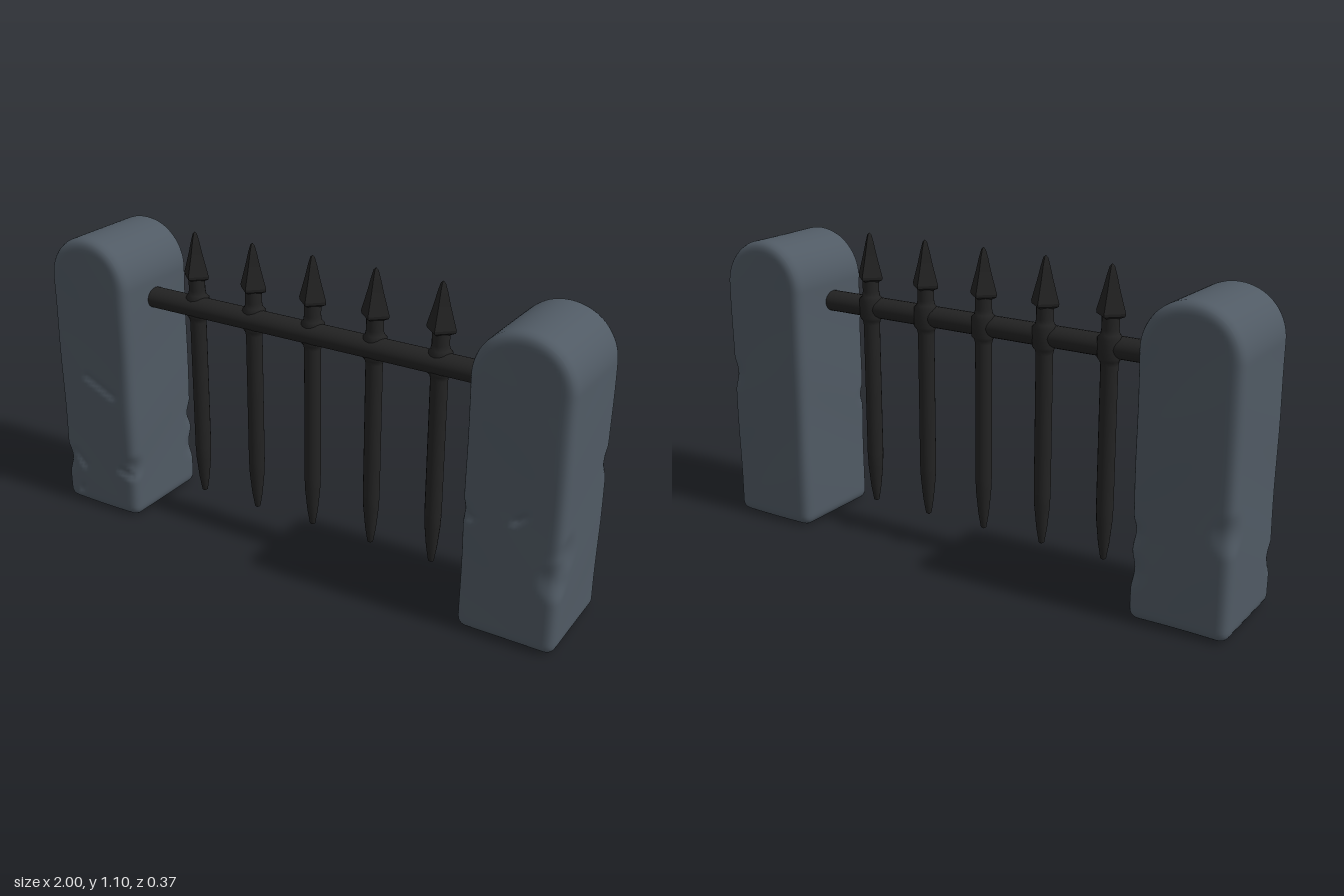
import * as THREE from 'three';
import { mergeVertices } from 'three/addons/utils/BufferGeometryUtils.js';

const HALF_W = 0.17, HALF_D = 0.184, SPRING = 0.89, EDGE = 0.035;

// Distance from a point to a segment a-b in the front plane
function segmentDistance(x, y, [ax, ay, bx, by]) {
  const dx = bx - ax, dy = by - ay;
  const t = THREE.MathUtils.clamp(((x - ax) * dx + (y - ay) * dy) / (dx * dx + dy * dy), 0, 1);
  return Math.hypot(x - ax - t * dx, y - ay - t * dy);
}

// Round-topped stone block with softened edges, shallow cracks and worn chips.
// cracks: [ax, ay, bx, by] on the front; chips: [x, y, z, radius, depth]
function pillarGeometry(cracks, chips, phase) {
  const height = SPRING + HALF_W;
  let geo = new THREE.BoxGeometry(2 * HALF_W, height, 2 * HALF_D, 28, 84, 26);
  geo.translate(0, height / 2, 0);
  geo.deleteAttribute('normal');
  geo.deleteAttribute('uv');
  geo = mergeVertices(geo, 1e-4);
  const pos = geo.attributes.position;
  const p = new THREE.Vector3(), core = new THREE.Vector3(), out = new THREE.Vector3();
  for (let i = 0; i < pos.count; i++) {
    p.fromBufferAttribute(pos, i);
    // bend the square top into a half circle
    if (p.y > SPRING) {
      const u = p.x / HALF_W, v = (p.y - SPRING) / HALF_W;
      p.x = HALF_W * u * Math.sqrt(1 - v * v / 2);
      p.y = SPRING + HALF_W * v * Math.sqrt(1 - u * u / 2);
    }
    // round every edge around a smaller inner block
    core.copy(p);
    const inner = HALF_W - EDGE;
    if (p.y > SPRING) {
      const r = Math.hypot(p.x, p.y - SPRING), k = r > inner ? inner / r : 1;
      core.x = p.x * k;
      core.y = SPRING + (p.y - SPRING) * k;
    } else {
      core.x = THREE.MathUtils.clamp(p.x, -inner, inner);
      core.y = Math.max(p.y, EDGE);
    }
    core.z = THREE.MathUtils.clamp(p.z, EDGE - HALF_D, HALF_D - EDGE);
    out.subVectors(p, core).normalize();
    p.copy(core).addScaledVector(out, EDGE);
    // gentle unevenness, cracks and chips
    let push = 0.002 * Math.sin(9 * p.y + 7 * p.z + phase) * Math.cos(11 * p.x + 5 * p.y);
    if (out.z > 0.5) {
      for (const c of cracks) push -= 0.01 * Math.max(0, 1 - segmentDistance(p.x, p.y, c) / 0.016);
    }
    for (const [x, y, z, r, depth] of chips) {
      const d = Math.hypot(p.x - x, p.y - y, p.z - z) / r;
      if (d < 1) push -= depth * (1 - d * d) ** 2;
    }
    p.addScaledVector(out, push);
    pos.setXYZ(i, p.x, Math.max(0, p.y), p.z);
  }
  geo.computeVertexNormals();
  return geo;
}

const profile = (points) => points.map(([r, y]) => new THREE.Vector2(r, y));

export function createModel() {
  const model = new THREE.Group();
  const stone = new THREE.MeshStandardMaterial({ color: 0x505a64 });
  stone.name = 'grey stone';
  const iron = new THREE.MeshStandardMaterial({ color: 0x232323 });
  iron.name = 'black iron';

  const add = (parent, name, geometry, material) => {
    const mesh = new THREE.Mesh(geometry, material);
    mesh.name = name;
    parent.add(mesh);
    return mesh;
  };

  // Stone pillars
  const W = HALF_W, D = HALF_D;
  const right = add(model, 'rightPillar', pillarGeometry(
    [[-0.03, 0.535, 0.09, 0.48], [-0.12, 0.21, -0.07, 0.16], [0.1, 0.185, 0.15, 0.165], [-0.1, 0.04, -0.09, 0.065]],
    [[W, 0.2, D, 0.06, 0.014], [-W, 0.17, D, 0.07, 0.014], [-W, 0.36, -D, 0.08, 0.012],
      [W, 0.3, -D, 0.06, 0.014], [W, 0.17, -D, 0.07, 0.012]], 0), stone);
  right.position.x = -0.829;
  const left = add(model, 'leftPillar', pillarGeometry(
    [[0.015, 0.445, 0.045, 0.47], [-0.145, 0.42, -0.13, 0.415]],
    [[W, 0.27, D, 0.08, 0.016], [W, 0.55, -D, 0.07, 0.012], [W, 0.35, 0.13, 0.08, 0.008],
      [-W, 0.43, D, 0.05, 0.01]], 2), stone);
  left.position.x = 0.829;

  // Cross rail, running into both pillars
  const railGeo = new THREE.CylinderGeometry(0.037, 0.037, 1.42, 20).rotateZ(Math.PI / 2);
  railGeo.scale(1, 1, 1.17);
  add(model, 'rail', railGeo, iron).position.set(0, 0.83, 0.012);

  // Pointed upright with a small flare where it meets the rail
  const barGeo = new THREE.LatheGeometry(profile([
    [0, 0.088], [0.01, 0.095], [0.019, 0.15], [0.027, 0.23], [0.029, 0.28], [0.029, 0.77],
    [0.032, 0.785], [0.042, 0.798], [0.042, 0.862], [0.032, 0.873], [0.029, 0.89], [0.029, 0.95],
  ]), 16);
  // Four-sided spearhead with its ridges facing front, back and sides
  const headGeo = new THREE.LatheGeometry(profile([
    [0, 0.925], [0.03, 0.925], [0.051, 0.935], [0.053, 0.945], [0.03, 1.02], [0.018, 1.065], [0.009, 1.092], [0, 1.1],
  ]), 4).toNonIndexed();
  headGeo.computeVertexNormals();
  headGeo.scale(1, 1, 0.9);

  [-0.478, -0.238, 0, 0.238, 0.476].forEach((x, i) => {
    const picket = new THREE.Group();
    picket.name = `picket${i + 1}`;
    add(picket, 'bar', barGeo, iron);
    add(picket, 'spearhead', headGeo, iron);
    picket.position.x = x;
    model.add(picket);
  });

  return model;
}
